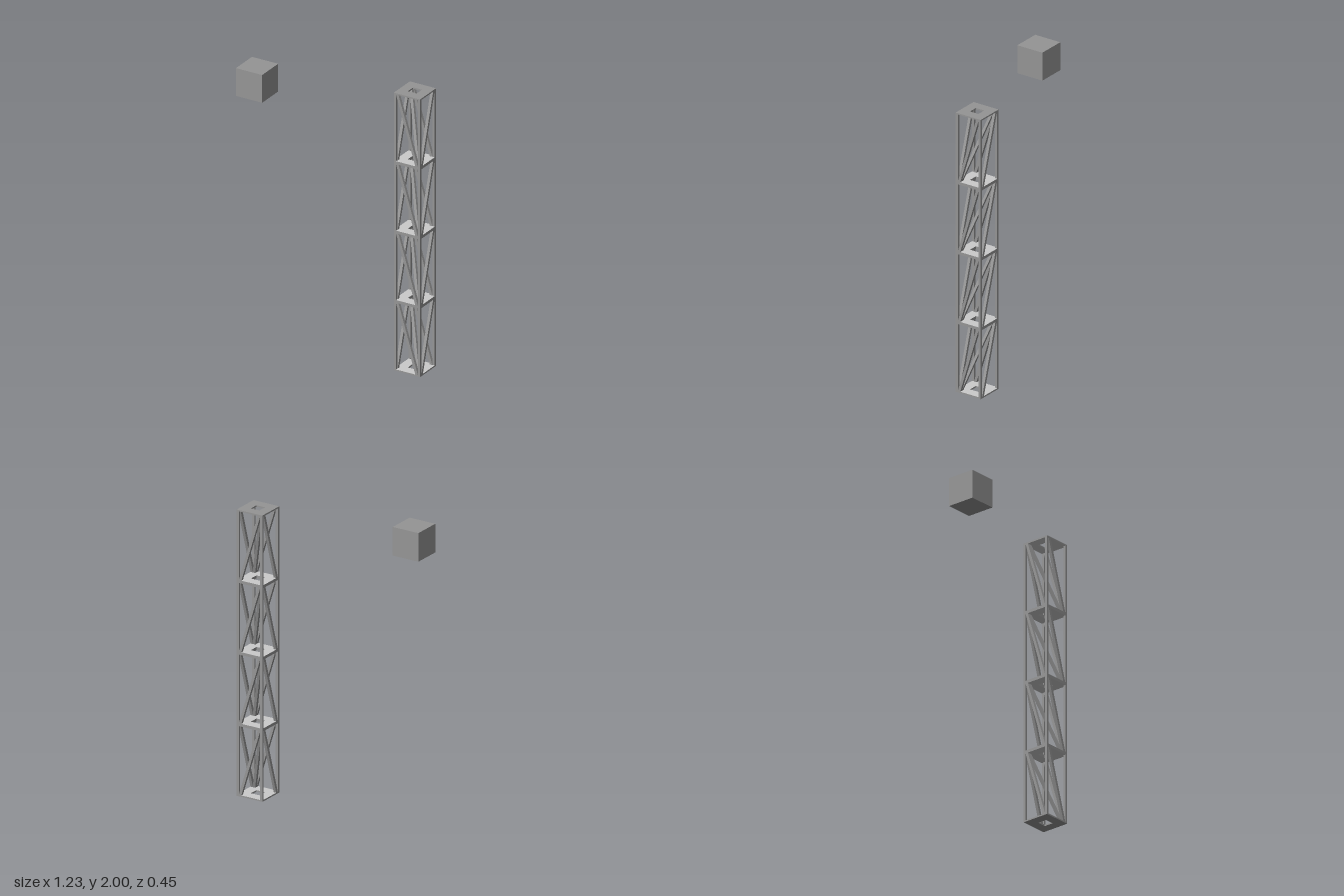
import * as THREE from 'three';

const SIZE = 0.198;      // width of tower and cube
const MODULE = 0.495;    // height of one tower section
const PLATE = 0.01;      // plate thickness
const POST = 0.0165;     // corner post thickness
const BRACE = 0.0195;    // diagonal brace thickness
const HOLE = 0.066;      // square opening in each plate

const dark = new THREE.MeshStandardMaterial({ color: 0x959595, flatShading: true });
const light = new THREE.MeshStandardMaterial({ color: 0xcccccc, flatShading: true });

function addMesh(parent, geometry, name, x, y, z, material = dark) {
  const mesh = new THREE.Mesh(geometry, material);
  mesh.name = name;
  mesh.position.set(x, y, z);
  parent.add(mesh);
}

// Flat square plate with a square hole; material slots: underside, upper side, edges
function plateGeometry() {
  const square = (r) => [[-r, -r], [r, -r], [r, r], [-r, r]].map(([x, y]) => new THREE.Vector2(x, y));
  const shape = new THREE.Shape(square(SIZE / 2));
  shape.holes.push(new THREE.Path(square(HOLE / 2).reverse()));
  const geometry = new THREE.ExtrudeGeometry(shape, { depth: PLATE, bevelEnabled: false }).rotateX(-Math.PI / 2);
  const [caps, edges] = geometry.groups;
  const half = caps.count / 2;
  geometry.clearGroups();
  geometry.addGroup(caps.start, half, 0);
  geometry.addGroup(caps.start + half, half, 1);
  geometry.addGroup(edges.start, edges.count, 2);
  return geometry;
}

// Upright bar sheared so that its top moves by -dx, -dz and its foot by +dx, +dz
function braceGeometry(dx, dz) {
  const height = MODULE - 2 * PLATE;
  const geometry = new THREE.BoxGeometry(BRACE, height, BRACE);
  const p = geometry.attributes.position;
  for (let i = 0; i < p.count; i++) {
    const t = -p.getY(i) / (height / 2);
    p.setX(i, p.getX(i) + t * dx);
    p.setZ(i, p.getZ(i) + t * dz);
  }
  geometry.computeVertexNormals();
  return geometry;
}

function createSection() {
  const section = new THREE.Group();
  const post = SIZE / 2 - POST / 2;            // post centre line
  const face = SIZE / 2 - BRACE / 2;           // brace centre line, flush with the sides
  const reach = SIZE / 2 - POST - BRACE / 2;   // brace ends just inside the posts
  const mid = MODULE / 2;

  // End plates, lighter on the sides facing into the section
  const plate = plateGeometry();
  addMesh(section, plate, 'bottomPlate', 0, 0, 0, [dark, light, dark]);
  addMesh(section, plate, 'topPlate', 0, MODULE - PLATE, 0, [light, dark, dark]);

  // Corner posts
  const postGeometry = new THREE.BoxGeometry(POST, MODULE - 2 * PLATE, POST);
  for (const sx of [-1, 1]) {
    for (const sz of [-1, 1]) addMesh(section, postGeometry, 'cornerPost', sx * post, mid, sz * post);
  }

  // Diagonal braces on the four faces and one through the core
  const across = braceGeometry(reach, 0);
  const along = braceGeometry(0, reach);
  for (const s of [-1, 1]) {
    addMesh(section, across, s > 0 ? 'frontBrace' : 'backBrace', 0, mid, s * face);
    addMesh(section, along, s > 0 ? 'leftBrace' : 'rightBrace', s * face, mid, 0);
  }
  addMesh(section, braceGeometry(reach, reach), 'coreBrace', 0, mid, 0);
  return section;
}

export function createModel() {
  const model = new THREE.Group();
  model.name = 'towerAndCube';

  // Lattice tower of four stacked sections
  const tower = new THREE.Group();
  tower.name = 'latticeTower';
  tower.position.set(0.518, 0, -0.127);
  for (let i = 0; i < 4; i++) {
    const section = createSection();
    section.name = 'towerSection' + (i + 1);
    section.position.y = i * MODULE;
    tower.add(section);
  }
  model.add(tower);

  // Floating cube
  addMesh(model, new THREE.BoxGeometry(SIZE, SIZE, SIZE), 'cube', -0.518, 2 - SIZE / 2, 0.127);
  return model;
}
